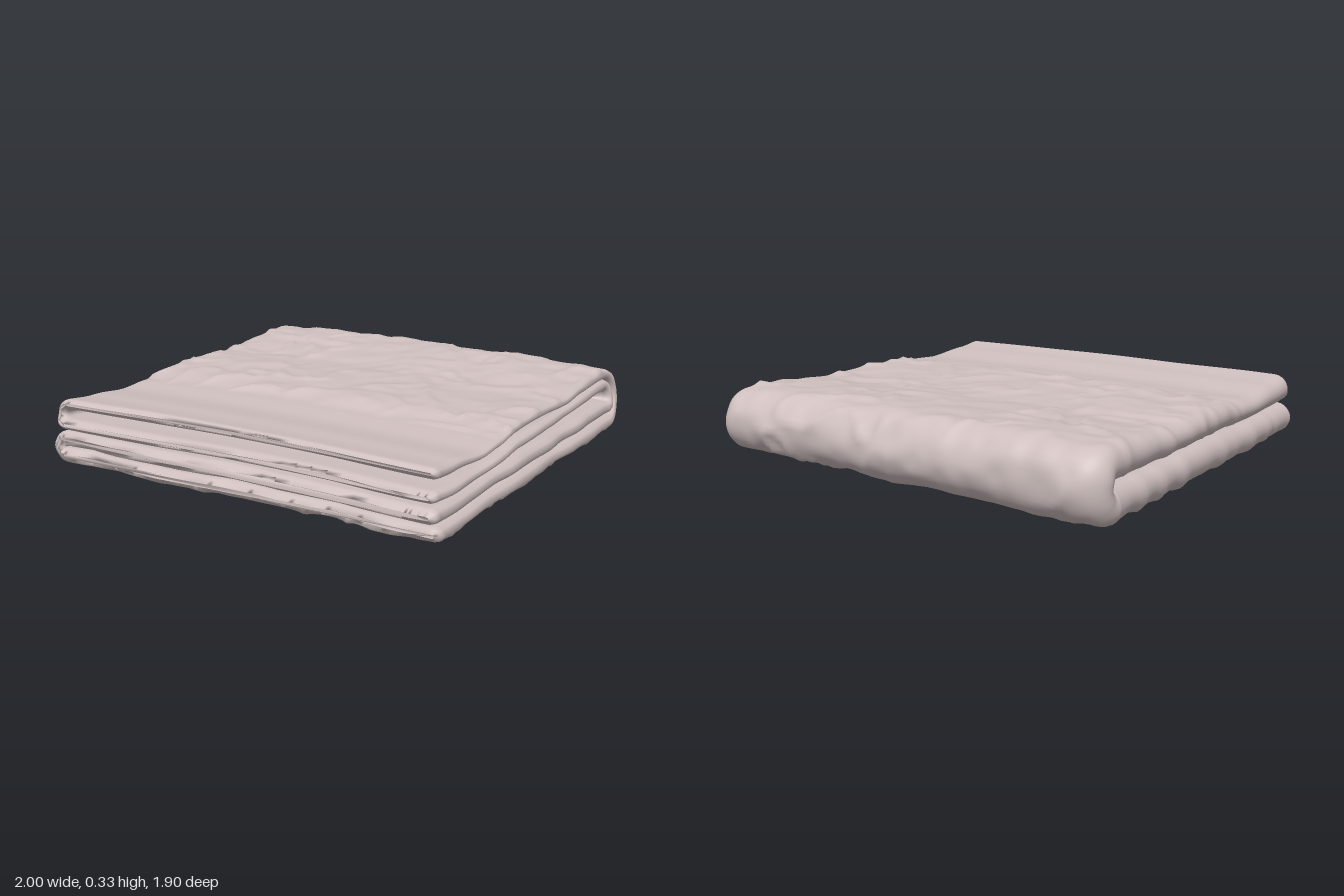
import * as THREE from 'three';

const MID = 0.152;    // height of the middle of the stack
const BEND_Z = -0.79; // centre of the big fold at the back
const OUTER = 0.147;  // half height of the stack
const TOP_N = 88, BEND_N = 20, LOW_N = 55;

const { lerp, smoothstep, clamp } = THREE.MathUtils;

// seeded value noise
function hash(i, j) {
  const s = Math.sin(i * 127.1 + j * 311.7) * 43758.5453;
  return s - Math.floor(s);
}
function noise(x, y) {
  const i = Math.floor(x), j = Math.floor(y);
  const u = smoothstep(x - i, 0, 1), v = smoothstep(y - j, 0, 1);
  return lerp(lerp(hash(i, j), hash(i + 1, j), u), lerp(hash(i, j + 1), hash(i + 1, j + 1), u), v);
}

// crumpled creases: thin ridges on a warped noise field
function crease(x, s) {
  const wx = x * 6 + 1.8 * noise(x * 4 + 9, s * 4);
  const ws = s * 7 + 1.8 * noise(x * 4, s * 4 + 20);
  const ridge = 1 - Math.abs(2 * noise(wx, ws) - 1);
  return Math.pow(ridge, 3) * 0.015 + (noise(x * 15, s * 17) - 0.5) * 0.009 - 0.004;
}

// gentle sag and swell of the upper half, as [z, height] knots
const SWELL = [[0.95, 0], [0.72, -0.022], [0.5, -0.042], [0.36, -0.034], [0.2, -0.01],
  [0, -0.008], [-0.3, -0.016], [-0.5, 0], [-0.72, 0.015], [-1.1, 0.012]];
function swell(x, z) {
  let i = 1;
  while (i < SWELL.length - 1 && z < SWELL[i][0]) i++;
  const [z0, h0] = SWELL[i - 1], [z1, h1] = SWELL[i];
  return lerp(h0, h1, smoothstep((z0 - z) / (z0 - z1), 0, 1)) + 0.008 * Math.cos(x * 2.2) - 0.004;
}

// stations along the U path: top leg, back bend, bottom leg
function makeStations() {
  const list = [];
  const ease = (d) => Math.max(0.25, Math.sqrt(1 - Math.pow(1 - clamp(d / 0.03, 0, 1), 2)));
  const step = (i, n) => (i < 5 ? i * 0.006 : lerp(0.024, 1, (i - 4) / (n - 4)));
  for (let i = 0; i < TOP_N; i++) {
    const f = step(i, TOP_N);
    list.push({ f, angle: 0, low: 0, taper: ease(f * 1.65), s: f * 1.65 });
  }
  for (let i = 0; i <= BEND_N; i++) {
    const k = i / BEND_N;
    list.push({ f: 1, angle: k * Math.PI, low: k, taper: 1, s: 1.65 + k * 0.47 });
  }
  for (let i = LOW_N - 1; i >= 0; i--) {
    const f = step(i, LOW_N);
    list.push({ f, angle: Math.PI, low: 1, taper: ease(f * 1.7), s: 2.12 + (1 - f) * 1.7 });
  }
  return list;
}

// closed outline of the C-shaped double sheet, in (x, distance from the middle)
function sheetOutline(st) {
  const half = lerp(0.025, 0.034, st.low);
  const nOut = OUTER - half, nIn = half + 0.004;
  const r = (nOut - nIn) / 2, nMid = (nOut + nIn) / 2;
  const grow = 0.035 * st.f;
  const left = -0.925 - grow + r;
  const rightOut = lerp(0.885, 0.925, st.low) + grow + 0.015 * (noise(st.s * 5, 3) - 0.5);
  const rightIn = lerp(0.9, 0.915, st.low) + grow * 0.8 + 0.02 * (noise(st.s * 6, 8) - 0.5);
  const flare = lerp(nIn, nOut - 2 * half - 0.003, smoothstep(st.f, 0, 1));
  const mid = [];
  for (let i = 0; i < 100; i++) mid.push([lerp(rightOut, left, i / 100), nOut, 1]);
  for (let i = 0; i <= 12; i++) {
    const a = Math.PI * i / 12;
    mid.push([left - Math.sin(a) * r, nMid + Math.cos(a) * r, 1 - i / 16]);
  }
  for (let i = 1; i <= 24; i++) mid.push([lerp(left, 0.8, i / 24), nIn, 0.1]);
  for (let i = 1; i <= 12; i++) {
    const k = i / 12;
    mid.push([lerp(0.8, rightIn, k), lerp(nIn, flare, smoothstep(k, 0.2, 1)), 0.1]);
  }
  const last = mid.length - 1;
  const dirs = mid.map((p, i) => {
    const a = mid[Math.max(0, i - 1)], b = mid[Math.min(last, i + 1)];
    return new THREE.Vector2(b[0] - a[0], b[1] - a[1]).normalize();
  });
  const h = half * st.taper;
  const z = lerp(0.88, BEND_Z, st.f);
  const crumple = st.low > 0 ? 1 : smoothstep(-z, -0.36, -0.3);
  const offset = (i, along, side) => {
    const [x, n, w] = mid[i], d = dirs[i];
    const bump = side > 0 ? crease(x, st.s) * w * crumple * st.taper : 0;
    const across = side * (h + bump);
    return new THREE.Vector2(x + d.x * along + d.y * across, n + d.y * along - d.x * across);
  };
  const ring = [];
  const tip = [0.8, 1.57, 2.34];
  for (let i = 0; i <= last; i++) ring.push(offset(i, 0, 1));
  for (const a of tip) ring.push(offset(last, Math.sin(a) * h, Math.cos(a)));
  for (let i = last; i >= 0; i--) ring.push(offset(i, 0, -1));
  for (const a of tip) ring.push(offset(0, -Math.sin(a) * h, -Math.cos(a)));
  return ring;
}

// carry an outline point onto the U path
function place(p, st) {
  const edge = st.low < 0.5
    ? 0.875 + 0.03 * smoothstep(-p.x, 0.3, 0.95) + 0.012 * noise(p.x * 3, 5) + 0.03 * smoothstep(-p.y, -0.08, -0.02)
    : 0.92 + 0.022 * noise(p.x * 8, p.y * 25) + 0.01 * smoothstep(p.x, 0.5, 0.95);
  let z, y;
  if (st.angle > 0 && st.angle < Math.PI) {
    z = BEND_Z - Math.sin(st.angle) * p.y;
    y = Math.cos(st.angle) * p.y;
  } else {
    z = lerp(edge, BEND_Z, st.f);
    y = st.low < 0.5 ? p.y : -p.y;
  }
  // corners of the back fold pull in a little
  z += 0.03 * smoothstep(Math.abs(p.x), 0.88, 1.0) * smoothstep(-z, 0.75, 0.95);
  const lift = clamp((y + MID) / 0.3, 0, 1);
  y += MID + swell(p.x, z) * lift * lift;
  // the inner layers wander, and the right side rests slightly higher
  y += Math.sin(Math.PI * lift) * 0.024 * (noise(p.x * 2.5 + 4, z * 2.5 + 7) - 0.4);
  y += 0.02 * smoothstep(p.x, -0.8, 0.95) * (1 - lift);
  return [p.x, Math.max(0, y), z];
}

function clothGeometry() {
  const stations = makeStations();
  const rings = stations.map(sheetOutline);
  const n = rings[0].length, positions = [], index = [];
  rings.forEach((ring, i) => ring.forEach((p) => positions.push(...place(p, stations[i]))));
  for (let i = 0; i < rings.length - 1; i++) {
    for (let j = 0; j < n; j++) {
      const a = i * n + j, b = i * n + (j + 1) % n;
      index.push(a, b, a + n, b, b + n, a + n);
    }
  }
  // close the two front ends
  const last = (rings.length - 1) * n;
  for (const [a, b, c] of THREE.ShapeUtils.triangulateShape(rings[0], [])) index.push(a, b, c);
  for (const [a, b, c] of THREE.ShapeUtils.triangulateShape(rings[rings.length - 1], [])) {
    index.push(last + a, last + c, last + b);
  }
  const geo = new THREE.BufferGeometry();
  geo.setAttribute('position', new THREE.Float32BufferAttribute(positions, 3));
  geo.setIndex(index);
  geo.computeVertexNormals();
  return geo;
}

export function createModel() {
  const cloth = new THREE.MeshStandardMaterial({ color: 0xcfc0bf, side: THREE.DoubleSide });
  cloth.name = 'palePinkCloth';
  const model = new THREE.Group();
  model.name = 'foldedTowel';
  const sheet = new THREE.Mesh(clothGeometry(), cloth);
  sheet.name = 'foldedSheet';
  model.add(sheet);

  // centre and stand on the ground
  const box = new THREE.Box3().setFromObject(model);
  const c = box.getCenter(new THREE.Vector3());
  sheet.geometry.translate(-c.x, -box.min.y, -c.z);
  return model;
}
